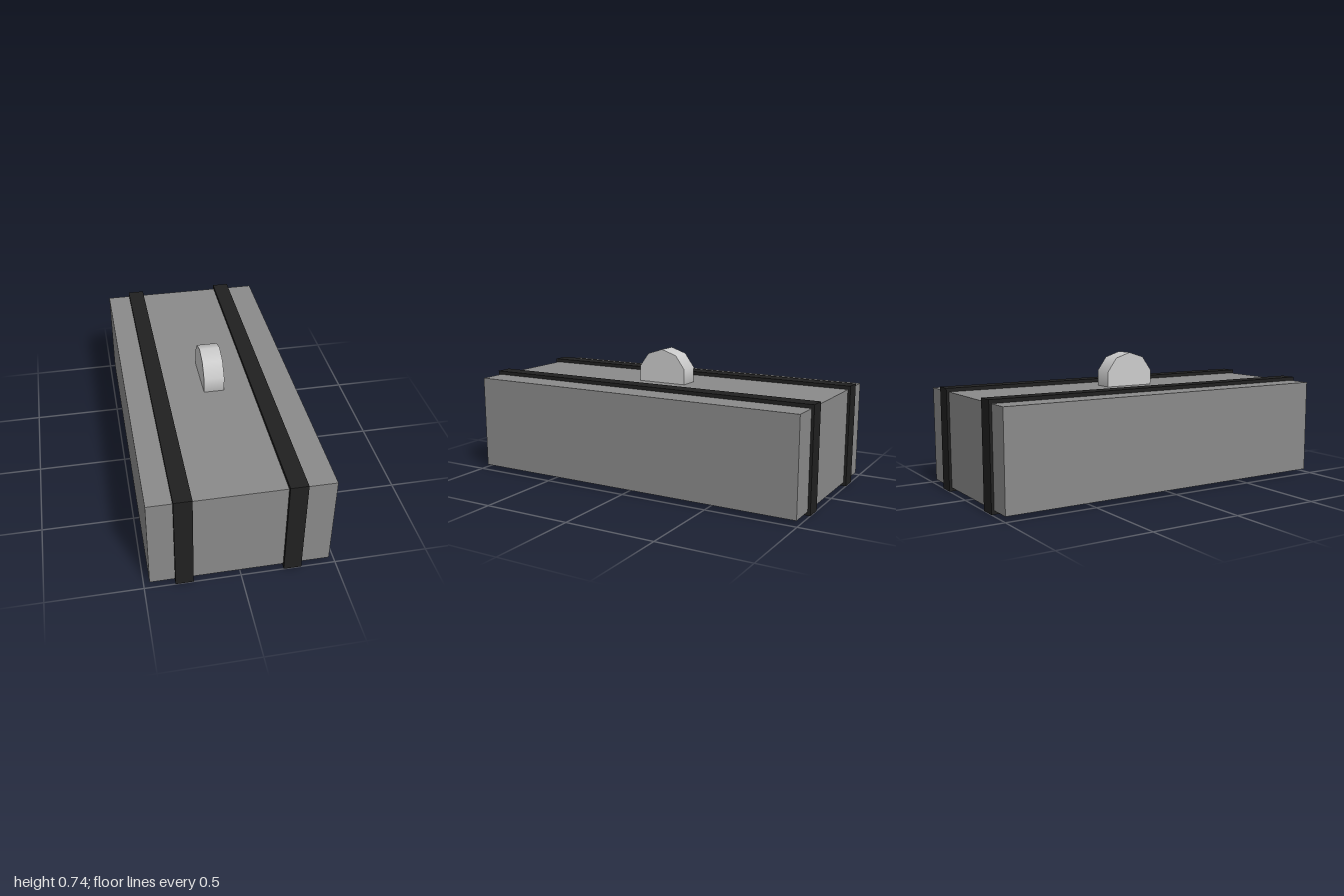
import * as THREE from 'three';

export function createModel() {
  const model = new THREE.Group();
  const add = (name, geometry, color, x, y, z) => {
    const mesh = new THREE.Mesh(geometry, new THREE.MeshStandardMaterial({ color }));
    mesh.name = name;
    mesh.position.set(x, y, z);
    model.add(mesh);
  };

  // Long rectangular case
  add('caseBody', new THREE.BoxGeometry(0.94, 0.527, 1.967), 0x8a8a8a, 0, 0.2835, -0.002);

  // Two dark straps wrapping slightly proud of the case
  for (const [name, x] of [['rightStrap', -0.293], ['leftStrap', 0.272]]) {
    add(name, new THREE.BoxGeometry(0.093, 0.567, 2), 0x202020, x, 0.2835, 0);
  }

  // Ten-sided disc handle, half sunk into the lid with one corner straight up
  const handle = new THREE.CylinderGeometry(0.152, 0.152, 0.113, 10, 1, false, Math.PI / 2);
  handle.rotateZ(Math.PI / 2);
  add('handle', handle, 0xcccccc, 0.017, 0.585, 0);

  return model;
}
